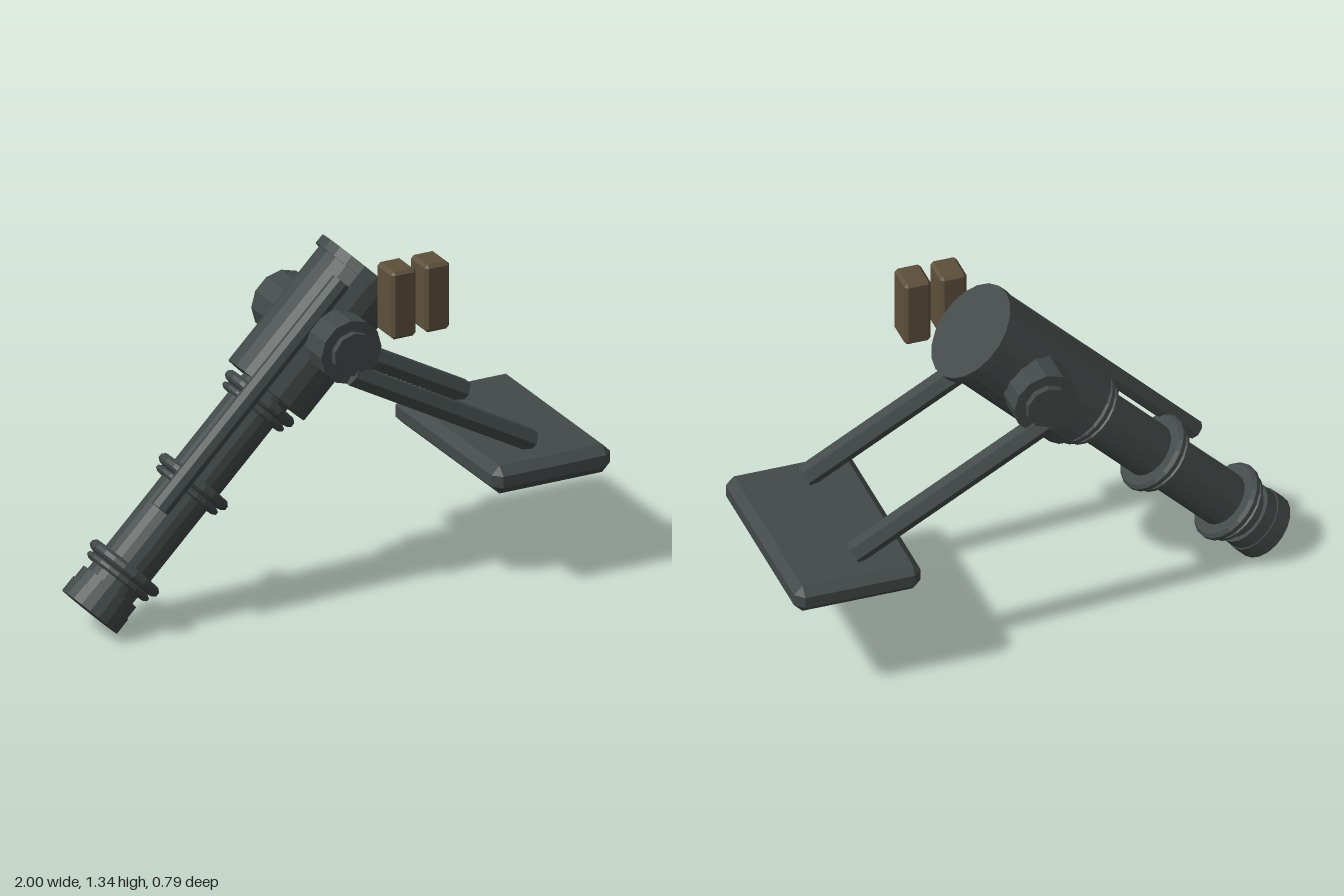
import * as THREE from 'three';
import { ConvexGeometry } from 'three/addons/geometries/ConvexGeometry.js';

const AXIS_Z = -0.01;

// Faceted normals for a low-poly look
function facet(geometry) {
  const g = geometry.index ? geometry.toNonIndexed() : geometry;
  g.computeVertexNormals();
  return g;
}

// Box with every edge chamfered by c
function chamferBox(w, h, d, c) {
  const pts = [];
  for (const x of [-1, 1]) for (const y of [-1, 1]) for (const z of [-1, 1]) {
    pts.push(new THREE.Vector3(x * w / 2, y * (h / 2 - c), z * (d / 2 - c)));
    pts.push(new THREE.Vector3(x * (w / 2 - c), y * h / 2, z * (d / 2 - c)));
    pts.push(new THREE.Vector3(x * (w / 2 - c), y * (h / 2 - c), z * d / 2));
  }
  return facet(new ConvexGeometry(pts));
}

export function createModel() {
  const model = new THREE.Group();
  model.name = 'model';
  const metal = new THREE.MeshStandardMaterial({ color: 0x424948 });
  metal.name = 'dark grey metal';
  const brown = new THREE.MeshStandardMaterial({ color: 0x5d503b });
  brown.name = 'brown';

  function add(parent, name, geometry, material, x = 0, y = 0, z = 0) {
    const mesh = new THREE.Mesh(geometry, material);
    mesh.name = name;
    mesh.position.set(x, y, z);
    parent.add(mesh);
    return mesh;
  }
  const lathe = (points, sides) =>
    facet(new THREE.LatheGeometry(points.map(p => new THREE.Vector2(...p)), sides));

  // Tilted tube assembly: local y runs up along the tube
  const tube = new THREE.Group();
  tube.name = 'tubeAssembly';
  tube.position.set(-0.91, 0.093, AXIS_Z);
  tube.rotation.z = -Math.PI / 4;
  model.add(tube);

  add(tube, 'endCap', lathe([[0, 0], [0.125, 0], [0.125, 0.065], [0.12, 0.065], [0.12, 0.117], [0, 0.117]], 20), metal);
  add(tube, 'barrel', lathe([[0, 0.1], [0.102, 0.1], [0.102, 1.03], [0, 1.03]], 20), metal);
  add(tube, 'housing', lathe([[0, 1.013], [0.173, 1.013], [0.173, 1.535], [0.19, 1.535], [0.19, 1.575], [0, 1.575]], 20), metal);

  // Collars: a small ridge beside a larger bevelled ridge
  for (const t of [0.15, 0.545, 0.925]) {
    add(tube, 'collar', lathe([
      [0.1, t], [0.125, t], [0.137, t + 0.008], [0.137, t + 0.02], [0.122, t + 0.028],
      [0.14, t + 0.032], [0.152, t + 0.042], [0.152, t + 0.058], [0.14, t + 0.07], [0.1, t + 0.07],
    ], 20), metal);
  }

  // Slim rod alongside the tube
  add(tube, 'sideRod', facet(new THREE.CylinderGeometry(0.037, 0.037, 1.04, 8)), metal, -0.124, 0.96, 0.115);

  // Cross pivot with a smaller hub at each end
  for (const [name, r, len, sides] of [['pivot', 0.122, 0.53, 12], ['pivotHub', 0.082, 0.58, 10]]) {
    const g = new THREE.CylinderGeometry(r, r, len, sides);
    g.rotateX(Math.PI / 2);
    add(model, name, facet(g), metal, 0.01, 1.015, AXIS_Z);
  }

  // Hexagonal legs sloping down to the foot plate
  const top = new THREE.Vector2(0.01, 0.93), foot = new THREE.Vector2(0.74, 0.525);
  const run = foot.clone().sub(top);
  for (const side of [-1, 1]) {
    const g = new THREE.CylinderGeometry(0.044, 0.044, run.length(), 6);
    const leg = add(model, side > 0 ? 'frontLeg' : 'backLeg', facet(g), metal,
      (top.x + foot.x) / 2, (top.y + foot.y) / 2, -0.005 + side * 0.255);
    leg.rotation.z = Math.atan2(run.y, run.x) - Math.PI / 2;
  }
  add(model, 'footPlate', chamferBox(0.48, 0.108, 0.79, 0.032), metal, 0.76, 0.452, 0);

  // Pair of brown blocks beside the housing
  for (const x of [0.197, 0.333]) {
    add(model, 'sightBlock', chamferBox(0.1, 0.262, 0.127, 0.012), brown, x, 1.183, 0.247);
  }
  return model;
}
